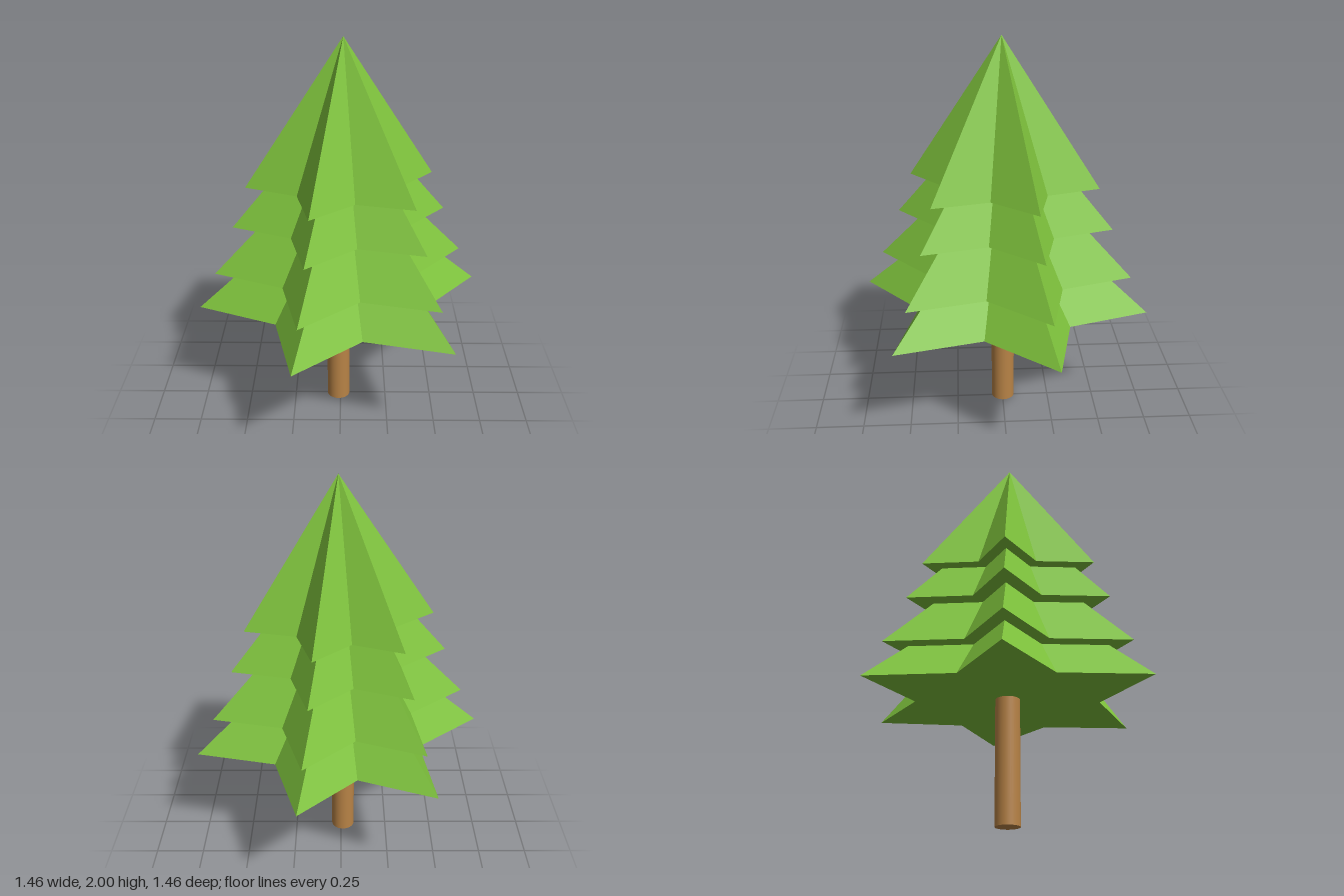
import * as THREE from 'three';

// Slightly irregular six-pointed star outline [x, z]: tips alternate with notches
const STAR = [
  [0.205, -0.73], [0.33, -0.32], [0.73, -0.23], [0.445, 0.11],
  [0.55, 0.545], [0.11, 0.44], [-0.22, 0.725], [-0.325, 0.285],
  [-0.73, 0.115], [-0.405, -0.16], [-0.46, -0.6], [-0.08, -0.455],
];

// Pleated cone with a flat star-shaped underside
function starCone(scale, base, top) {
  const apex = [0.012, top, 0.005];
  const centre = [0, base, 0];
  const rim = STAR.map(([x, z]) => [x * scale, base, z * scale]);
  const positions = [];
  rim.forEach((a, i) => {
    const b = rim[(i + 1) % rim.length];
    positions.push(...apex, ...b, ...a, ...centre, ...a, ...b);
  });
  const geometry = new THREE.BufferGeometry();
  geometry.setAttribute('position', new THREE.Float32BufferAttribute(positions, 3));
  geometry.computeVertexNormals();
  return geometry;
}

export function createModel() {
  const tree = new THREE.Group();
  tree.name = 'pineTree';

  const green = new THREE.MeshStandardMaterial({ color: 0x7ec23c, flatShading: true });
  const brown = new THREE.MeshStandardMaterial({ color: 0xb88346 });

  // Trunk, set a little off centre and sunk into the lowest tier
  const trunk = new THREE.Mesh(new THREE.CylinderGeometry(0.061, 0.061, 0.66, 32), brown);
  trunk.name = 'trunk';
  trunk.position.set(-0.011, 0.33, -0.002);
  tree.add(trunk);

  // Foliage tiers, lowest first: [scale, base height, apex height]
  const tiers = [
    [1, 0.62, 1.28],
    [0.88, 0.81, 1.5],
    [0.74, 1.065, 1.72],
    [0.642, 1.275, 2],
  ];
  tiers.forEach(([scale, base, top], i) => {
    const tier = new THREE.Mesh(starCone(scale, base, top), green);
    tier.name = `foliageTier${i + 1}`;
    tree.add(tier);
  });

  return tree;
}
